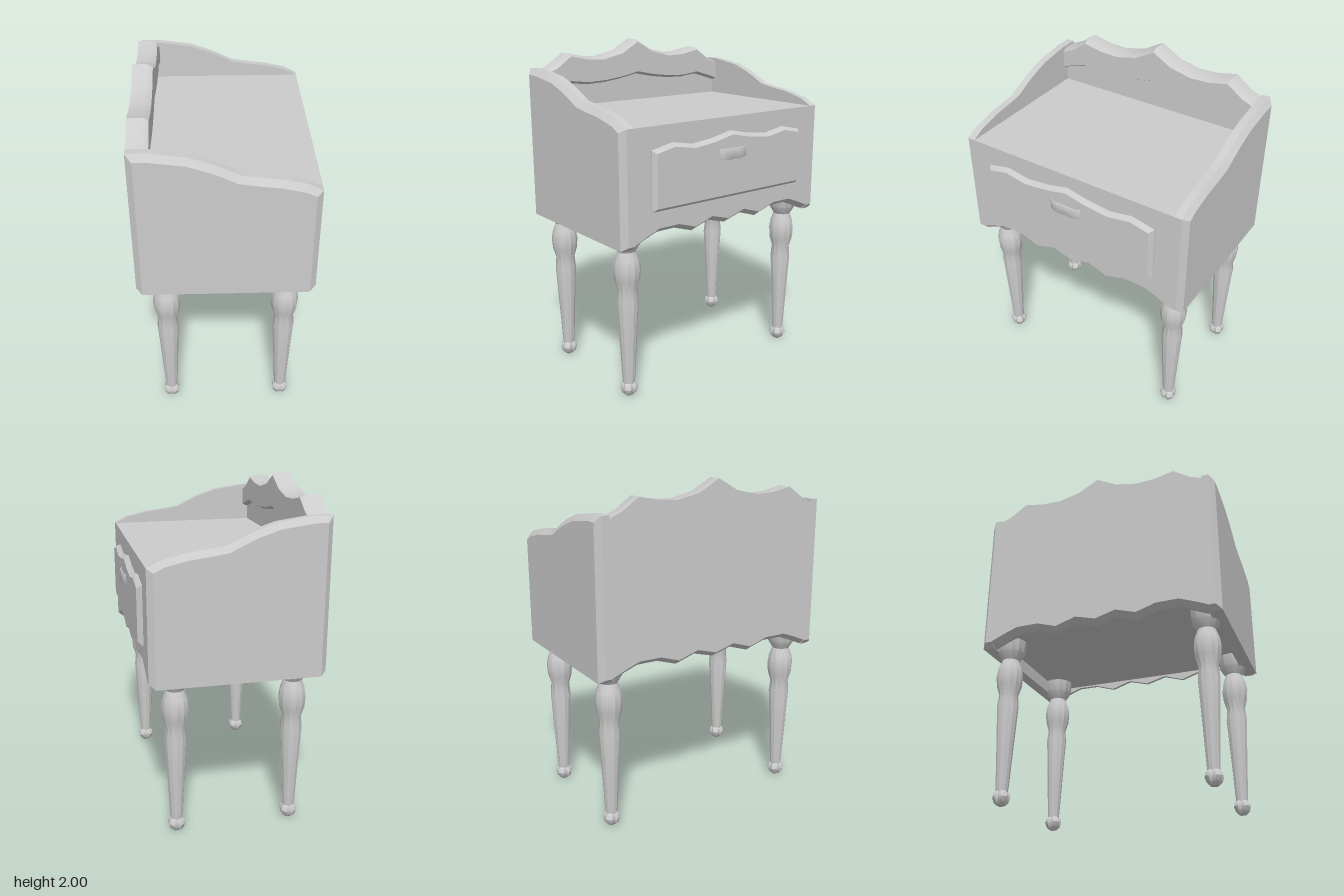
import * as THREE from 'three';
import { toCreasedNormals } from 'three/addons/utils/BufferGeometryUtils.js';

const material = new THREE.MeshStandardMaterial({ color: 0xcccccc });

// Mirrors half an outline (first coordinate positive, listed from outside to centre).
function mirrored(half) {
  const other = half.filter(([u]) => u > 0).reverse().map(([u, v]) => [-u, v]);
  return [...half, ...other];
}

// Bevelled slab whose full section is the outline, between a and b along its depth.
function slab(outline, a, b, thickness, size, rule) {
  const shape = new THREE.Shape(outline.map(([u, v]) => new THREE.Vector2(u, v)));
  const geo = new THREE.ExtrudeGeometry(shape, {
    depth: b - a - 2 * thickness, bevelThickness: thickness,
    bevelSize: size, bevelOffset: -size, bevelSegments: 1,
  });
  geo.translate(0, 0, a + thickness);
  const p = geo.attributes.position;
  const v = new THREE.Vector3();
  for (let i = 0; i < p.count; i++) {
    v.fromBufferAttribute(p, i);
    if (rule) rule(v);
    p.setXYZ(i, v.x, v.y, v.z);
  }
  return toCreasedNormals(geo, 0.62);
}

export function createModel() {
  const group = new THREE.Group();
  const add = (name, geo) => {
    const mesh = new THREE.Mesh(geo, material);
    mesh.name = name;
    group.add(mesh);
    return mesh;
  };
  // Slab drawn in the z-y plane and running along x.
  const addAlongX = (name, ...args) => add(name, slab(...args).rotateY(Math.PI / 2));

  // Cabinet body with a flat underside set above the aprons
  add('cabinetBody', new THREE.BoxGeometry(0.93, 0.59, 1.38)).position.set(-0.025, 1.315, 0);

  // Front and back panels with scalloped lower edges, bevelled on the outside only
  const scallop = mirrored([
    [0.7, 0.94], [0.66, 0.945], [0.58, 0.98], [0.5, 1.01], [0.375, 1.01],
    [0.25, 0.97], [0.125, 1.01], [0, 0.975],
  ]);
  const panelOutline = [...scallop, [-0.7, 1.61], [0.7, 1.61]];
  const levelTop = (v) => { if (v.y > 1.5) v.y = 1.61; };
  addAlongX('frontPanel', panelOutline, 0.38, 0.48, 0.04, 0.03,
    (v) => { levelTop(v); v.z = Math.max(v.z, 0.42); });
  addAlongX('backPanel', panelOutline, -0.53, -0.43, 0.04, 0.03,
    (v) => { levelTop(v); v.z = Math.min(v.z, -0.47); });

  // Side panels with a swept top, bevelled on the outside except along the bottom
  const sideOutline = [
    [-0.53, 0.97], [-0.5, 0.94], [0.45, 0.94], [0.48, 0.97], [0.48, 1.61], [0.4, 1.65],
    [0.27, 1.68], [0.15, 1.695], [0.05, 1.71], [-0.02, 1.745], [-0.1, 1.78],
    [-0.22, 1.82], [-0.42, 1.847], [-0.53, 1.847],
  ];
  const squareBottom = (v) => { if (v.y < 1 && Math.abs(v.z) > 0.74) v.y = 0.945; };
  add('leftSidePanel', slab(sideOutline, 0.64, 0.745, 0.03, 0.035,
    (v) => { squareBottom(v); v.z = Math.max(v.z, 0.67); }));
  add('rightSidePanel', slab(sideOutline, -0.745, -0.64, 0.03, 0.035,
    (v) => { squareBottom(v); v.z = Math.min(v.z, -0.67); }));

  // Crested back board: overhanging crest above a thinner lower board
  const crest = mirrored([
    [0.7, 1.82], [0.6, 1.86], [0.5, 1.93], [0.375, 1.905], [0.26, 1.9], [0.125, 1.93], [0, 2],
  ]);
  const crestFoot = mirrored([
    [0.7, 1.69], [0.6, 1.72], [0.5, 1.75], [0.375, 1.735], [0.25, 1.74], [0.125, 1.755], [0, 1.78],
  ]);
  addAlongX('backCrest', [...crest, ...[...crestFoot].reverse()], -0.56, -0.415, 0.03, 0.015,
    (v) => { v.z = Math.max(v.z, -0.53); });
  addAlongX('backBoard', [[-0.69, 1.58], [0.69, 1.58],
    ...crestFoot.map(([u, v]) => [u * 0.98, v + 0.04])], -0.53, -0.45, 0.001, 0.001);

  // Drawer front with a waved top edge
  const drawerTop = mirrored([[0.56, 1.48], [0.42, 1.51], [0.28, 1.485], [0.14, 1.5], [0, 1.53]]);
  addAlongX('drawerFront', [[-0.56, 1.14], [0.56, 1.14], ...drawerTop], 0.45, 0.51, 0.025, 0.02);

  // Drawer handle: a thin bent strip with a waved lower edge
  const strip = (x, ends) => mirrored([[ends, 0.505], [0.075, x], [0.035, x], [0, x]])
    .map(([z, u]) => [u, z]);
  const handle = slab([...strip(0.527, 0.11), ...strip(0.52, 0.1).reverse()], 1.375, 1.435, 0.001, 0.0005,
    (v) => { if (v.z < 1.4 && Math.abs(Math.abs(v.y) - 0.035) < 0.005) v.z -= 0.008; });
  add('drawerHandle', handle.rotateX(-Math.PI / 2));

  // Turned legs with lobed ball feet
  const profile = (points) => points.map(([r, y]) => new THREE.Vector2(r, y));
  const legProfile = profile([
    [0.034, 0.07], [0.038, 0.12], [0.05, 0.35], [0.064, 0.6], [0.057, 0.67],
    [0.075, 0.73], [0.08, 0.79], [0.073, 0.84], [0.053, 0.895], [0.083, 0.945], [0.092, 1.03],
  ]);
  const footProfile = profile([
    [0, 0.006], [0.022, 0], [0.042, 0.018], [0.052, 0.048], [0.044, 0.074], [0.028, 0.088], [0, 0.09],
  ]);
  const legGeo = toCreasedNormals(new THREE.LatheGeometry(legProfile, 12), 0.5);
  const footGeo = new THREE.LatheGeometry(footProfile, 16);
  const fp = footGeo.attributes.position;
  for (let i = 0; i < fp.count; i++) {
    const groove = Math.floor(i / footProfile.length) % 4 === 0 ? 0.78 : 1;
    fp.setXYZ(i, fp.getX(i) * groove, fp.getY(i), fp.getZ(i) * groove);
  }
  const lobedFoot = toCreasedNormals(footGeo, 0.6);
  for (const [x, end] of [[-0.37, 'back'], [0.32, 'front']]) {
    for (const [z, side] of [[0.62, 'Left'], [-0.62, 'Right']]) {
      add(`${end}${side}Leg`, legGeo).position.set(x, 0, z);
      add(`${end}${side}Foot`, lobedFoot).position.set(x, 0, z);
    }
  }
  return group;
}
